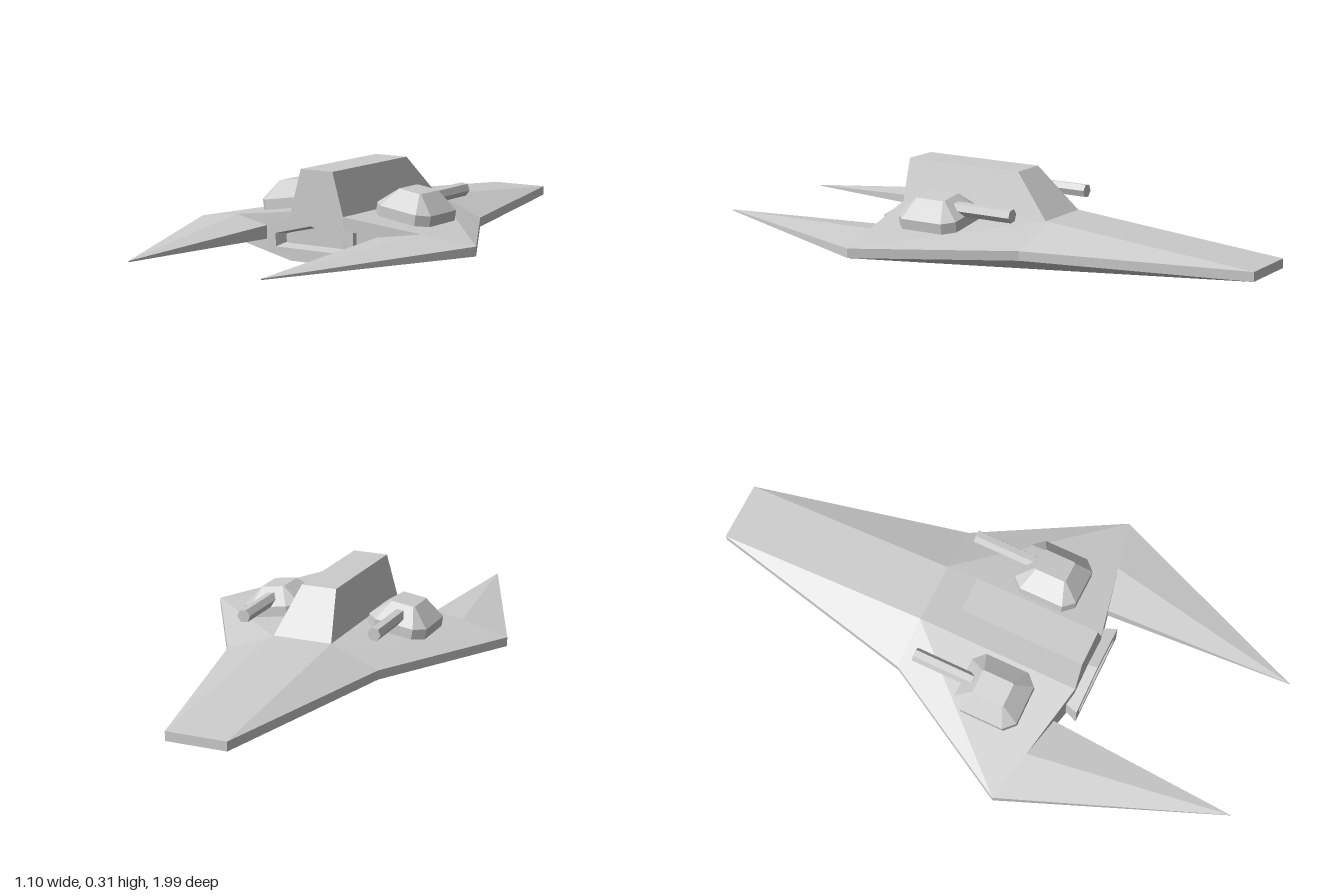
import * as THREE from 'three';

const material = new THREE.MeshStandardMaterial({ color: 0xcccccc, flatShading: true });

// Flat-shaded mesh from convex polygons given as lists of [x, y, z].
function facets(name, faces) {
  const pos = [];
  for (const f of faces)
    for (let i = 1; i < f.length - 1; i++) pos.push(...f[0], ...f[i], ...f[i + 1]);
  const geo = new THREE.BufferGeometry();
  geo.setAttribute('position', new THREE.Float32BufferAttribute(pos, 3));
  geo.computeVertexNormals();
  const mesh = new THREE.Mesh(geo, material);
  mesh.name = name;
  return mesh;
}

// Skin between rings that run counter-clockwise seen from the last ring.
function loft(name, rings, caps = true) {
  const faces = [];
  for (let r = 0; r < rings.length - 1; r++) {
    const a = rings[r], b = rings[r + 1];
    a.forEach((p, i) => {
      const j = (i + 1) % a.length;
      faces.push([p, a[j], b[j], b[i]]);
    });
  }
  if (caps) faces.push([...rings[0]].reverse(), rings[rings.length - 1]);
  return facets(name, faces);
}

// Plan points of the hull: x, half thickness, z
const MID = 0.0825;
const plan = {
  tailMid: [0, 0.016, -1], tail: [0.105, 0.016, -1],
  backMid: [0, 0.0825, -0.24], back: [0.105, 0.0825, -0.24],
  frontMid: [0, 0.0825, 0.345], front: [0.105, 0.0825, 0.345],
  waist: [0.275, 0.016, -0.24], corner: [0.55, 0.016, 0.25],
  root: [0.37, 0.043, 0.29], inner: [0.22, 0.023, 0.321], tip: [0.255, 0.002, 0.99],
};

// Decks are mirrored above/below and left/right, walls left/right.
function mirroredShell(name, decks, walls, sides) {
  const faces = [];
  const at = (key, sx, sy) => {
    const [x, h, z] = plan[key];
    return [x * sx, MID + h * sy, z];
  };
  for (const sx of sides) {
    for (const sy of [1, -1])
      for (const d of decks) {
        const f = d.map((k) => at(k, sx, sy));
        faces.push(sx * sy > 0 ? f : f.reverse());
      }
    for (const [p, q] of walls) {
      const f = [at(p, sx, 1), at(q, sx, 1), at(q, sx, -1), at(p, sx, -1)];
      faces.push(sx > 0 ? f : f.reverse());
    }
  }
  return facets(name, faces);
}

// Rectangle with cut corners, lying flat at height y
function cutRect(y, w, d, c) {
  return [[-w, -d + c], [-w, d - c], [-w + c, d], [w - c, d],
    [w, d - c], [w, -d + c], [w - c, -d], [-w + c, -d]].map(([x, z]) => [x, y, z]);
}

// Five-sided outline with a peaked top, upright at depth z
function peaked(z, w, bottom, shoulder, peak) {
  return [[-w, bottom, z], [w, bottom, z], [w, shoulder, z], [0, peak, z], [-w, shoulder, z]];
}

function createTurret(side) {
  const turret = new THREE.Group();
  turret.name = side > 0 ? 'leftTurret' : 'rightTurret';
  turret.add(loft('turretBody', [
    cutRect(-0.02, 0.105, 0.115, 0.036),
    cutRect(0.035, 0.105, 0.115, 0.036),
    cutRect(0.092, 0.043, 0.057, 0.004),
  ]));
  const geo = new THREE.CylinderGeometry(0.024, 0.024, 0.22, 6);
  geo.rotateY(Math.PI / 2).rotateX(Math.PI / 2);
  const barrel = new THREE.Mesh(geo, material);
  barrel.name = 'turretBarrel';
  barrel.position.set(0, 0.055, -0.185);
  turret.add(barrel);
  turret.position.set(0.23 * side, 0.147, 0.105);
  turret.rotation.z = -0.148 * side;
  return turret;
}

export function createModel() {
  const model = new THREE.Group();
  model.name = 'spacecraft';

  // Wedge hull with a tapering tail
  model.add(mirroredShell('hull', [
    ['tailMid', 'backMid', 'back', 'tail'],
    ['backMid', 'frontMid', 'front', 'back'],
    ['tail', 'back', 'waist'],
    ['back', 'corner', 'waist'],
    ['back', 'front', 'root', 'corner'],
  ], [['tailMid', 'tail'], ['tail', 'waist'], ['waist', 'corner'],
    ['root', 'front'], ['front', 'frontMid']], [1, -1]));

  // Forward-pointing wing blades and turrets
  for (const side of [1, -1]) {
    model.add(mirroredShell(side > 0 ? 'leftWing' : 'rightWing', [
      ['root', 'tip', 'corner'],
      ['root', 'inner', 'tip'],
    ], [['corner', 'tip'], ['tip', 'inner']], [side]));
    model.add(createTurret(side));
  }

  // Cabin block with a sloped back
  const cabinRing = (y, w, back) => [[-w, y, back], [-w, y, 0.345], [w, y, 0.345], [w, y, back]];
  model.add(loft('cabin', [cabinRing(0.16, 0.106, -0.24), cabinRing(0.31, 0.063, -0.1)]));

  // Flared front intake with a recessed opening
  model.add(loft('frontIntake', [
    peaked(0.29, 0.135, 0.05, 0.105, 0.128),
    peaked(0.38, 0.167, 0.027, 0.125, 0.155),
    peaked(0.38, 0.141, 0.05, 0.095, 0.13),
    peaked(0.33, 0.12, 0.064, 0.088, 0.116),
  ], false));

  return model;
}
